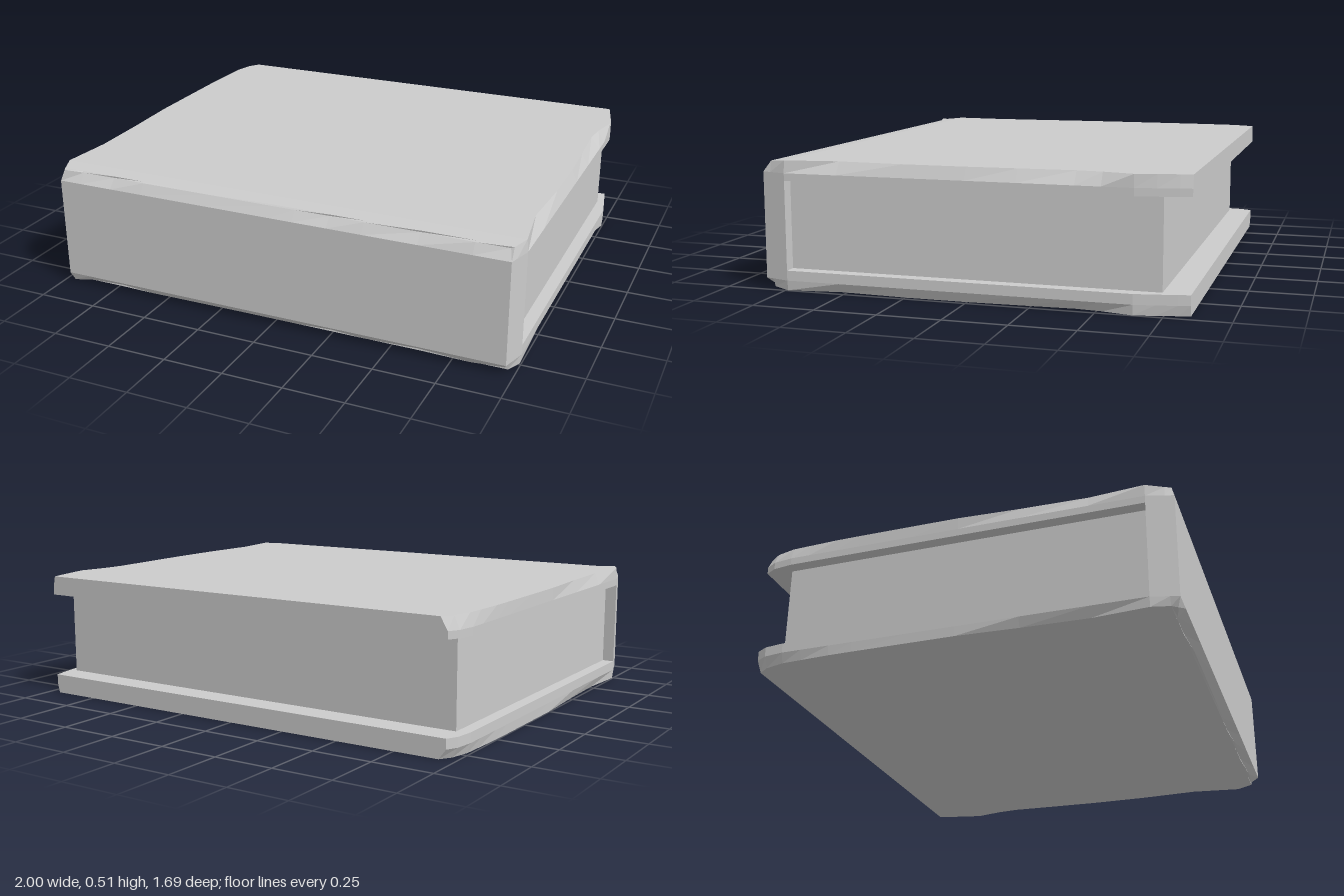
import * as THREE from 'three';

const material = new THREE.MeshStandardMaterial({ color: 0xcccccc, flatShading: true });

// Linear interpolation through a few [position, value] points
function along(points, t) {
  for (let i = 1; i < points.length; i++) {
    const [a, va] = points[i - 1], [b, vb] = points[i];
    if (t <= b) return va + (vb - va) * Math.max(0, (t - a) / (b - a));
  }
  return points[points.length - 1][1];
}

// Half width of the cover at each depth, for its left (+x) and right (-x) side
const leftEdge = [[-0.845, 0.96], [-0.78, 0.975], [-0.64, 1], [0.74, 1], [0.845, 0.97]];
const rightEdge = [[-0.845, 0.965], [-0.83, 0.985], [-0.72, 1], [0.74, 1], [0.845, 0.97]];
// How far the outer edges are worn away
const leftWear = [[-0.845, 0.01], [-0.64, 0.003], [-0.52, 0.03], [-0.42, 0.04], [-0.2, 0.03], [0, 0.022],
  [0.25, 0.022], [0.52, 0.035], [0.74, 0.005], [0.845, 0.015]];
const rightWear = [[-0.845, 0.03], [-0.75, 0.015], [-0.5, 0.003], [0, 0.002], [0.2, 0.012], [0.5, 0.022], [0.74, 0.003], [0.845, 0.015]];
const spineWear = [[-1, 0.012], [-0.9, 0.03], [-0.75, 0.036], [-0.6, 0.026], [0.1, 0.03], [0.25, 0.036],
  [0.4, 0.028], [0.63, 0.036], [0.85, 0.025], [1, 0.035]];

// Box with loops at chosen coordinates, following the worn outline of the cover
function wornSlab(name, xs, ys, zs, outerY) {
  const geo = new THREE.BoxGeometry(1, 1, 1, xs.length - 1, ys.length - 1, zs.length - 1);
  const p = geo.attributes.position;
  const pick = (list, v) => list[Math.round((v + 0.5) * (list.length - 1))];
  for (let i = 0; i < p.count; i++) {
    const u = pick(xs, p.getX(i));
    let y = pick(ys, p.getY(i)), z = pick(zs, p.getZ(i));
    const isLeft = u > 0;
    let x = u * along(isLeft ? leftEdge : rightEdge, z);
    if (y === outerY) {
      const inward = outerY > 0.2 ? -1 : 1;
      if (Math.abs(u) === 1) x -= Math.sign(u) * along(isLeft ? leftWear : rightWear, z);
      if (z === 0.845) {
        const w = along(spineWear, u);
        z -= w;
        y += inward * w * 0.35;
      } else if (z === 0.81) y += inward * 0.006;
    }
    p.setXYZ(i, x, y, z);
  }
  geo.computeVertexNormals();
  const mesh = new THREE.Mesh(geo, material);
  mesh.name = name;
  return mesh;
}

export function createModel() {
  const book = new THREE.Group();
  book.name = 'book';

  const xs = [-1, -0.9, -0.75, -0.6, -0.3, 0, 0.1, 0.25, 0.4, 0.63, 0.85, 1];
  const zs = [-0.845, -0.8, -0.72, -0.64, -0.52, -0.42, -0.2, 0, 0.25, 0.52, 0.74, 0.81, 0.845];

  // Two cover boards joined by the spine
  book.add(wornSlab('topCover', xs, [0.435, 0.465, 0.515], zs, 0.515));
  book.add(wornSlab('bottomCover', xs, [0, 0.04, 0.08], zs, 0));
  book.add(wornSlab('spine', xs, [0.08, 0.435], [0.74, 0.81, 0.845], null));

  // Page block set back from the cover edges
  const pages = new THREE.Mesh(new THREE.BoxGeometry(1.9, 0.355, 1.48), material);
  pages.name = 'pageBlock';
  pages.position.y = 0.2575;
  book.add(pages);

  return book;
}
